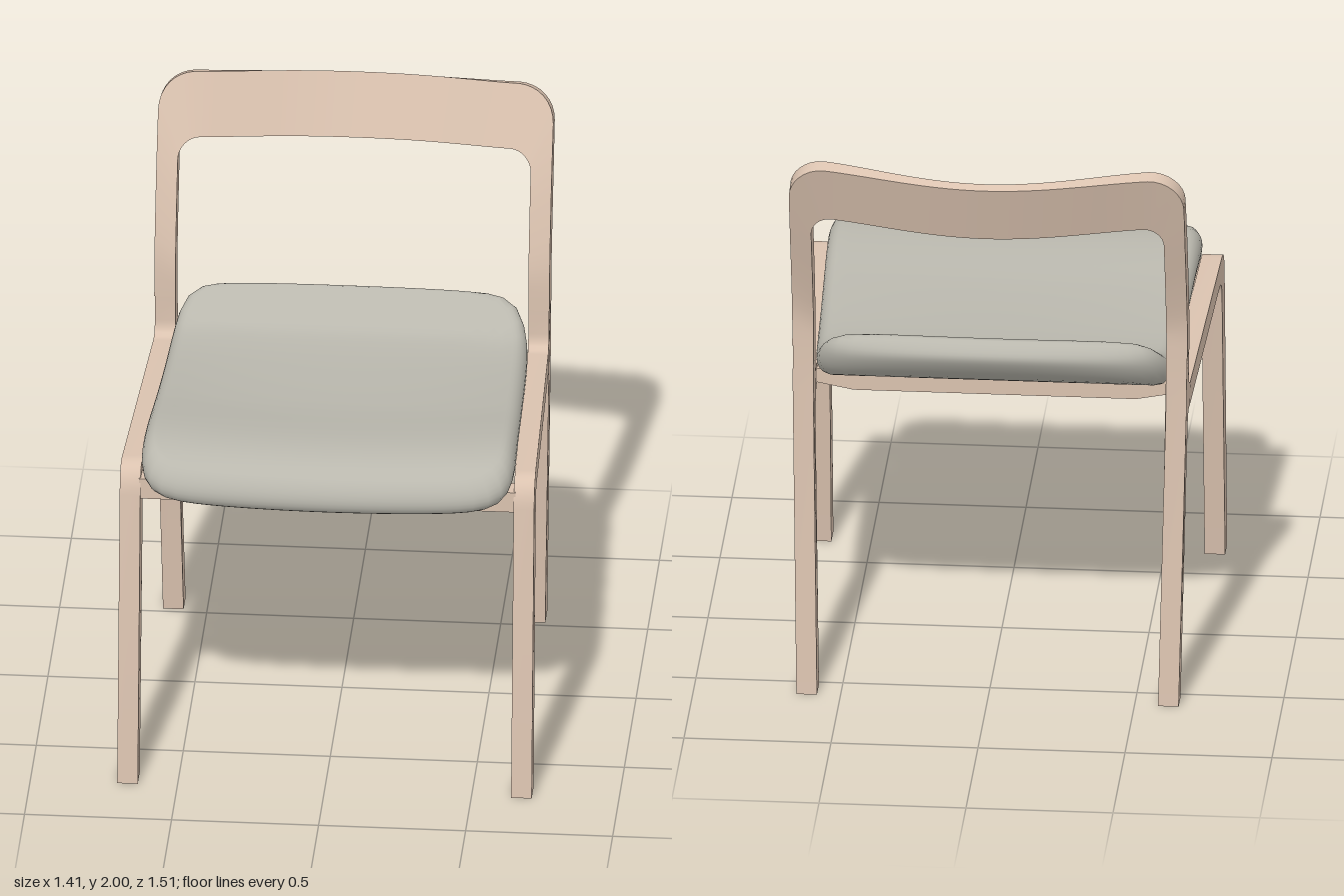
import * as THREE from 'three';
import { toCreasedNormals } from 'three/addons/utils/BufferGeometryUtils.js';

// Smooth function through [position, value] points (cubic Hermite)
function curve(pts) {
  const n = pts.length;
  const slope = (i) => {
    const a = pts[Math.max(i - 1, 0)], b = pts[Math.min(i + 1, n - 1)];
    return (b[1] - a[1]) / (b[0] - a[0]);
  };
  return (p) => {
    p = Math.min(Math.max(p, pts[0][0]), pts[n - 1][0]);
    let i = 0;
    while (i < n - 2 && p > pts[i + 1][0]) i++;
    const [x0, y0] = pts[i], [x1, y1] = pts[i + 1];
    const h = x1 - x0, t = (p - x0) / h, t2 = t * t, t3 = t2 * t;
    return (2 * t3 - 3 * t2 + 1) * y0 + (t3 - 2 * t2 + t) * h * slope(i)
      + (3 * t2 - 2 * t3) * y1 + (t3 - t2) * h * slope(i + 1);
  };
}

// Skin over rows of points; each row is a closed ring
function loft(rows) {
  const n = rows[0].length, index = [];
  for (let k = 0; k < rows.length - 1; k++) {
    for (let j = 0; j < n; j++) {
      const a = k * n + j, b = k * n + (j + 1) % n;
      index.push(a, b, a + n, b, b + n, a + n);
    }
  }
  const geo = new THREE.BufferGeometry();
  geo.setAttribute('position', new THREE.Float32BufferAttribute(rows.flat(2), 3));
  geo.setIndex(index);
  geo.computeVertexNormals();
  return geo;
}

// Side frame: front leg, rail, rear leg and post foot as one profile
function sideFrameGeometry(side) {
  const s = new THREE.Shape();
  s.moveTo(0.75, 0);
  s.lineTo(0.645, 1.05);
  s.quadraticCurveTo(0.632, 1.158, 0.55, 1.154);
  s.lineTo(-0.375, 1.107);
  s.quadraticCurveTo(-0.42, 1.105, -0.422, 1.16);
  s.lineTo(-0.422, 1.25);
  s.lineTo(-0.507, 1.25);
  s.lineTo(-0.512, 1.1);
  s.lineTo(-0.605, 0);
  s.lineTo(-0.52, 0);
  s.lineTo(-0.447, 0.97);
  s.quadraticCurveTo(-0.442, 1.027, -0.38, 1.028);
  s.lineTo(0.49, 1.072);
  s.quadraticCurveTo(0.55, 1.073, 0.556, 1.0);
  s.lineTo(0.665, 0);
  s.closePath();
  const geo = new THREE.ExtrudeGeometry(s, { depth: 0.07, bevelEnabled: false, curveSegments: 8 });
  geo.rotateY(-Math.PI / 2);
  geo.translate(side > 0 ? 0.67 : -0.6, 0, 0);
  // Frames splay towards the front, rear legs lean in at the floor
  const p = geo.attributes.position;
  for (let i = 0; i < p.count; i++) {
    const y = p.getY(i), z = p.getZ(i);
    let shift = 0.034 * (THREE.MathUtils.clamp(z, -0.42, 0.6) + 0.42);
    if (z < -0.4) shift -= 0.02 * Math.max(0, 1 - y / 1.1);
    p.setX(i, p.getX(i) + side * shift);
  }
  return toCreasedNormals(geo, 0.6);
}

// Posts and bowed top rail as one arch
function backArchGeometry() {
  const front = curve([[1.25, -0.422], [1.38, -0.427], [1.5, -0.452], [1.73, -0.522], [2, -0.64]]);
  const back = curve([[1.25, -0.507], [1.36, -0.507], [1.5, -0.54], [1.78, -0.62], [2, -0.685]]);
  const wave = (u) => u * u * (2 - u);
  const half = []; // outer x, y and inner x, y
  for (let i = 0; i < 12; i++) {
    const t = i / 12;
    half.push([0.672, 1.25 + 0.63 * t, 0.6, 1.25 + 0.475 * t]);
  }
  for (let i = 0; i < 8; i++) {
    const a = (i / 8) * Math.PI / 2, c = Math.cos(a), d = Math.sin(a);
    half.push([0.552 + 0.12 * c, 1.88 + 0.12 * d, 0.53 + 0.07 * c, 1.725 + 0.07 * d]);
  }
  for (let i = 0; i <= 14; i++) {
    const u = 1 - i / 14;
    half.push([0.552 * u, 1.975 + 0.025 * wave(u), 0.53 * u, 1.77 + 0.025 * wave(u)]);
  }
  const mirrored = half.slice(0, -1).reverse().map(([a, b, c, d]) => [-a, b, -c, d]);
  const bow = (x) => Math.max(0, 1 - (x / 0.6) ** 2) ** 1.7;
  const onFront = (x, y) => [x, y, front(y) - 0.105 * bow(x)];
  const onBack = (x, y) => [x, y - 0.016 * THREE.MathUtils.smoothstep(y, 1.5, 1.75), back(y) - 0.078 * bow(x)];
  const rows = [...half, ...mirrored].map(([ox, oy, ix, iy]) =>
    [onFront(ox, oy), onBack(ox, oy), onBack(ix, iy), onFront(ix, iy)]);
  return toCreasedNormals(loft(rows), 0.6);
}

// Upholstered seat: rounded outline, dished top, drooping nose, raised rear lip
function cushionGeometry() {
  const top = curve([[-0.53, 1.27], [-0.47, 1.286], [-0.42, 1.245], [-0.36, 1.2], [-0.29, 1.183],
    [-0.1, 1.177], [0.2, 1.188], [0.5, 1.22], [0.64, 1.208], [0.75, 1.155]]);
  const bottom = curve([[-0.53, 1.195], [-0.42, 1.11], [-0.32, 1.07], [-0.1, 1.065], [0.1, 1.07],
    [0.4, 1.09], [0.6, 1.07], [0.75, 1.04]]);
  const layers = []; // scale of the outline, height from bottom 0 to top 1
  for (let i = 0; i < 18; i++) layers.push([0.92 * i / 18, 1]);
  for (let i = 0; i <= 12; i++) {
    const a = Math.PI * (0.5 - i / 12);
    layers.push([0.92 + 0.08 * Math.cos(a), 0.5 + 0.5 * Math.sin(a)]);
  }
  for (let i = 17; i >= 0; i--) layers.push([0.92 * i / 18, 0]);
  const N = 112;
  const rows = layers.map(([s, h]) => Array.from({ length: N }, (_, j) => {
    const a = (j / N) * Math.PI * 2, c = Math.cos(a), d = Math.sin(a);
    const r = s * Math.pow(Math.abs(c) ** 10 + Math.abs(d) ** 10, -0.1);
    const u = r * c, v = r * d;
    const x = u * (0.622 + 0.02 * v);
    let z = 0.125 + 0.622 * v;
    if (v < 0) z += 0.03 * v * (1 - u * u);
    const lift = 0.028 * u * u * THREE.MathUtils.smoothstep(z, -0.3, 0.4);
    return [x, THREE.MathUtils.lerp(bottom(z), top(z), h) + lift, z];
  }));
  return loft(rows);
}

export function createModel() {
  const wood = new THREE.MeshStandardMaterial({ color: 0xdac2af });
  wood.name = 'pale wood';
  const fabric = new THREE.MeshStandardMaterial({ color: 0xb9b7ad });
  fabric.name = 'grey fabric';

  const model = new THREE.Group();
  model.name = 'chair';
  const add = (name, geo, mat) => {
    const mesh = new THREE.Mesh(geo, mat);
    mesh.name = name;
    model.add(mesh);
    return mesh;
  };

  add('leftSideFrame', sideFrameGeometry(1), wood);
  add('rightSideFrame', sideFrameGeometry(-1), wood);
  add('backrestArch', backArchGeometry(), wood);
  add('seatCushion', cushionGeometry(), fabric);

  // Crossbars under the seat
  add('frontCrossbar', new THREE.BoxGeometry(1.28, 0.075, 0.07), wood).position.set(0, 1.072, 0.6);
  const bar = new THREE.Shape([[-0.61, 1.08], [-0.61, 1.03], [-0.48, 1.005], [0.48, 1.005], [0.61, 1.03], [0.61, 1.08]]
    .map(([x, y]) => new THREE.Vector2(x, y)));
  add('rearCrossbar', new THREE.ExtrudeGeometry(bar, { depth: 0.12, bevelEnabled: false }), wood).position.z = -0.31;

  return model;
}
